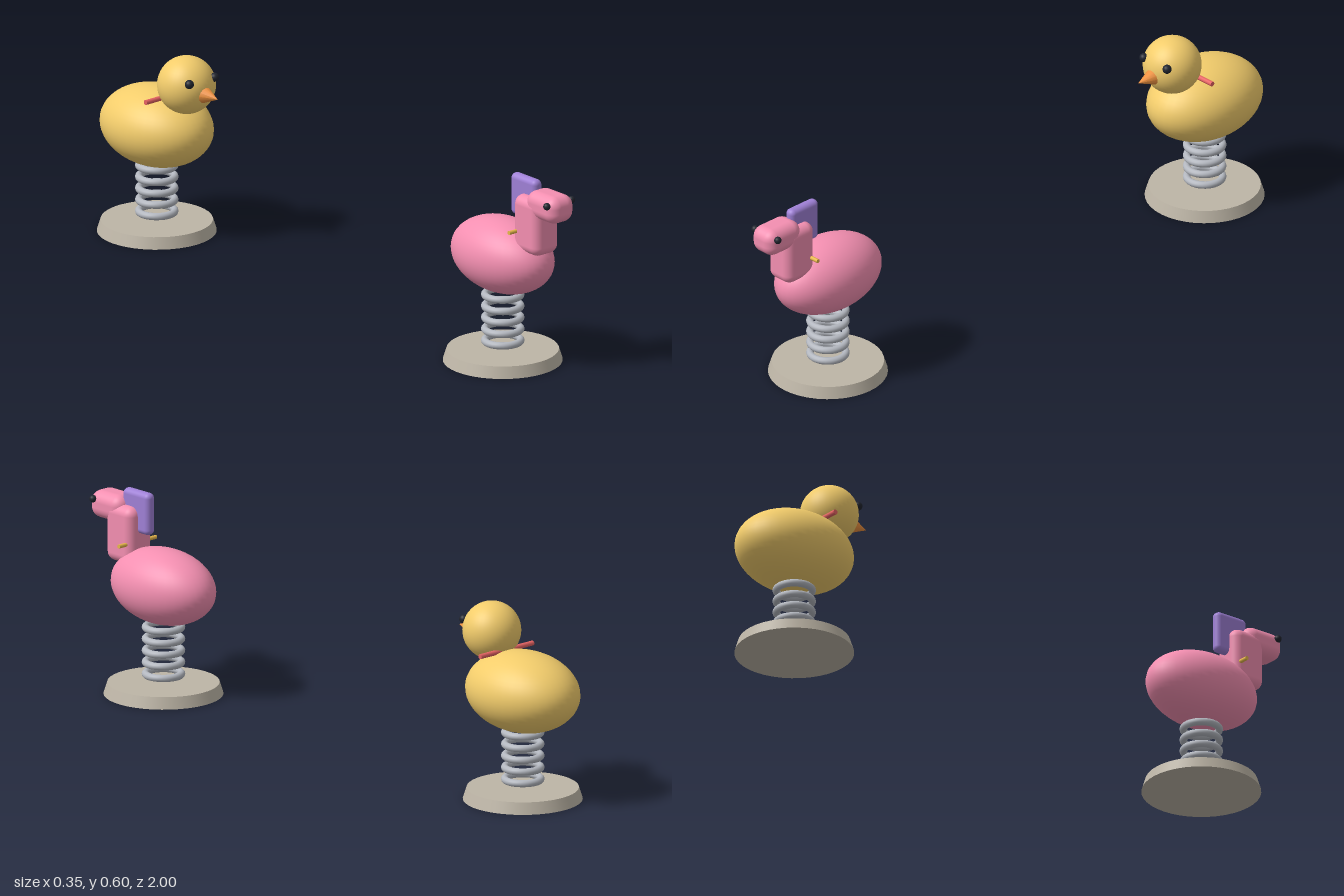
import * as THREE from 'three';
import { RoundedBoxGeometry } from 'three/addons/geometries/RoundedBoxGeometry.js';

const mat = (color) => new THREE.MeshStandardMaterial({ color });
const colors = {
  base: mat(0xbdb5a6), spring: mat(0xb4b8c0), pink: mat(0xf48fb1), yellow: mat(0xf2cc6b),
  purple: mat(0x9f80d6), red: mat(0xe86464), bar: mat(0xe8b84c), beak: mat(0xef9240), eye: mat(0x20242e),
};

function add(parent, name, geometry, material, x, y, z) {
  const mesh = new THREE.Mesh(geometry, material);
  mesh.name = name;
  mesh.position.set(x, y, z);
  parent.add(mesh);
  return mesh;
}

// Ellipsoid from a unit sphere
function ellipsoid(rx, ry, rz) {
  return new THREE.SphereGeometry(1, 40, 28).scale(rx, ry, rz);
}

// Footing disc, stacked coil rings and egg-shaped seat body shared by both riders
function springRider(name, z, material, rx, ry, rz) {
  const rider = new THREE.Group();
  rider.name = name;
  rider.position.z = z;
  add(rider, 'base', new THREE.CylinderGeometry(0.165, 0.176, 0.035, 40), colors.base, 0, 0.0175, 0);
  const ring = new THREE.TorusGeometry(0.053, 0.011, 12, 36).rotateX(Math.PI / 2);
  for (let i = 0; i < 5; i++) {
    add(rider, 'springCoil', ring, colors.spring, 0, 0.06 + i * 0.0355, 0);
  }
  add(rider, 'body', ellipsoid(rx, ry, rz), material, 0, 0.327, 0);
  return rider;
}

function addEyes(rider, radius, x, y, z) {
  for (const side of [-1, 1]) {
    add(rider, side > 0 ? 'leftEye' : 'rightEye', new THREE.SphereGeometry(radius, 16, 12), colors.eye, side * x, y, z);
  }
}

function addHandle(rider, radius, length, material, y, z) {
  const bar = new THREE.CylinderGeometry(radius, radius, length, 14).rotateZ(Math.PI / 2);
  add(rider, 'handlebar', bar, material, 0, y, z);
}

function createPony() {
  const pony = springRider('ponyRider', 0.724, colors.pink, 0.119, 0.113, 0.187);
  add(pony, 'neck', new RoundedBoxGeometry(0.095, 0.175, 0.113, 5, 0.028), colors.pink, 0, 0.461, 0.148);
  add(pony, 'head', new RoundedBoxGeometry(0.093, 0.083, 0.135, 5, 0.033), colors.pink, 0, 0.531, 0.2085);
  add(pony, 'mane', new RoundedBoxGeometry(0.034, 0.128, 0.113, 5, 0.016), colors.purple, 0, 0.533, 0.105);
  addEyes(pony, 0.011, 0.048, 0.55, 0.25);
  addHandle(pony, 0.006, 0.15, colors.bar, 0.438, 0.112);
  return pony;
}

function createDuck() {
  const duck = springRider('duckRider', -0.808, colors.yellow, 0.146, 0.12, 0.192);
  add(duck, 'head', new THREE.SphereGeometry(0.0866, 40, 28), colors.yellow, 0, 0.486, 0.132);
  const cone = new THREE.ConeGeometry(0.03, 0.07, 12).rotateX(Math.PI / 2);
  add(duck, 'beak', cone, colors.beak, 0, 0.475, 0.235);
  addEyes(duck, 0.0135, 0.049, 0.515, 0.2);
  addHandle(duck, 0.0075, 0.212, colors.red, 0.438, 0.07);
  return duck;
}

export function createModel() {
  const model = new THREE.Group();
  model.name = 'springRiders';
  model.add(createPony(), createDuck());
  return model;
}
